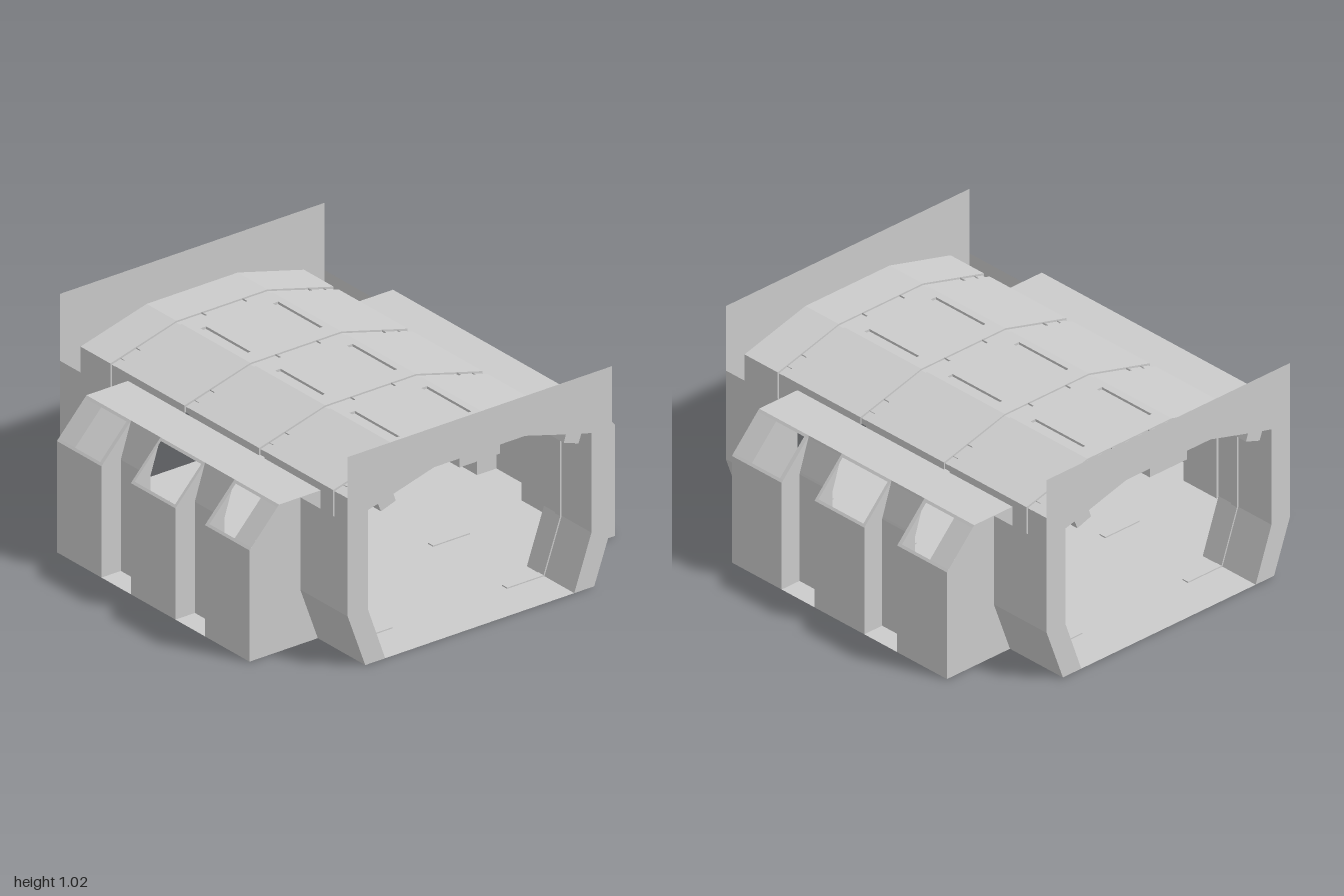
import * as THREE from 'three';

const material = new THREE.MeshStandardMaterial({ color: 0xcccccc, flatShading: true, side: THREE.DoubleSide });

// Skin quads between successive rings { p: [[x, y], ...], z }; skip(ring, segment) leaves openings.
function loft(rings, s = 1, skip = () => false) {
  const pos = [];
  for (let i = 0; i + 1 < rings.length; i++) {
    const A = rings[i], B = rings[i + 1];
    for (let j = 0; j + 1 < A.p.length; j++) {
      if (skip(i, j)) continue;
      const v = [[A, j], [A, j + 1], [B, j + 1], [B, j]].map(([r, k]) => new THREE.Vector3(s * r.p[k][0], r.p[k][1], r.z));
      for (const t of [[0, 1, 2], [0, 2, 3]]) {
        const [a, b, c] = t.map(k => v[k]);
        const area = b.clone().sub(a).cross(c.clone().sub(a)).length();
        if (area > 1e-8) for (const q of [a, b, c]) pos.push(q.x, q.y, q.z);
      }
    }
  }
  const g = new THREE.BufferGeometry();
  g.setAttribute('position', new THREE.Float32BufferAttribute(pos, 3));
  g.computeVertexNormals();
  return g;
}

const sweep = (p, z0, z1, s = 1) => loft([{ p, z: z0 }, { p, z: z1 }], s);
const flat = pts => new THREE.ShapeGeometry(new THREE.Shape(pts.map(p => new THREE.Vector2(...p))));
const mirrorX = pts => pts.map(([x, y]) => [-x, y]).reverse();

export function createModel() {
  const model = new THREE.Group();
  const add = (name, geometry, parent = model) => {
    const m = new THREE.Mesh(geometry, material);
    m.name = name;
    parent.add(m);
    return m;
  };
  const seams = [-0.775, -0.26, 0.26, 0.775], seamHalf = 0.018, depth = 0.008;

  // Floor, notched at the corners
  const half = [[0.512, -1], [0.512, -0.67], [0.99, -0.67], [0.99, 0.67], [0.512, 0.67], [0.512, 1]];
  add('floor', flat([...half, ...mirrorX(half)]).rotateX(-Math.PI / 2));

  // Roof with cross seams and shallow lengthwise slots
  const roofProfile = (drop, slot) => {
    const h = [[0.605 - drop, 0.7], [0.605 - drop, 0.735 - drop], [0.247, 0.83 - drop], [0.21, 0.83 - drop],
      [0.21, 0.83 - drop - slot], [0.18, 0.83 - drop - slot], [0.18, 0.83 - drop]];
    return [...h, ...mirrorX(h)];
  };
  const plain = roofProfile(0, 0), groove = roofProfile(depth, 0), slotted = roofProfile(0, 0.012);
  const roof = [{ p: plain, z: -1 }];
  const inset = (a, b, p) => roof.push({ p: plain, z: a }, { p, z: a }, { p, z: b }, { p: plain, z: b });
  seams.forEach((z, i) => {
    inset(z - seamHalf, z + seamHalf, groove);
    if (i < 3) {
      const c = (z + seams[i + 1]) / 2;
      inset(c - 0.155, c + 0.155, slotted);
    }
  });
  roof.push({ p: plain, z: 1 });
  add('roof', loft(roof));

  // Ceiling beams with lengthwise grooves
  const beam = [[0.11, 0.83], [0.11, 0.787], [0.075, 0.787], [0.075, 0.8], [0.035, 0.8], [0.035, 0.787]];
  add('centreBeam', sweep([...beam, ...mirrorX(beam)], -1, 1));
  const sideBeam = [[0.55, 0.745], [0.535, 0.707], [0.51, 0.715], [0.514, 0.727], [0.482, 0.737],
    [0.478, 0.726], [0.455, 0.734], [0.467, 0.77]];

  // End frames around the passage
  const opening = [[0.512, 0], [0.605, 0.26], [0.605, 0.735], [0.55, 0.748], [0.535, 0.707], [0.455, 0.734],
    [0.467, 0.77], [0.247, 0.83], [0.11, 0.83], [0.11, 0.787]];
  const frame = [[-0.62, 0], [-0.715, 0.26], [-0.715, 1.02], [0.715, 1.02], [0.715, 0.26], [0.62, 0],
    ...opening, ...mirrorX(opening)];
  add('frontFrame', flat(frame).translate(0, 0, 1));
  add('backFrame', flat(frame).translate(0, 0, -1));

  // Bay profiles; the second and third points are the window edges
  const podP = [[0.605, 0.7], [0.83, 0.7], [0.839, 0.69], [0.981, 0.54], [0.99, 0.53], [0.99, 0]];
  const recessP = [[0.605, 0.7], [0.83, 0.7], [0.833, 0.69], [0.882, 0.54], [0.885, 0.53], [0.885, 0]];
  const pods = [[-0.67, -0.555, -0.38, -0.36], [-0.155, -0.14, 0.14, 0.155], [0.36, 0.38, 0.555, 0.67]];
  const bayRings = [];
  pods.forEach((pod, i) => {
    if (i > 0) bayRings.push({ p: recessP, z: pod[0] });
    for (const z of pod) bayRings.push({ p: podP, z });
    if (i < 2) bayRings.push({ p: recessP, z: pod[3] });
  });
  const isWindow = (i, j) => j === 2 && i % 6 === 1;

  const wall = d => [[0.512 - d, 0], [0.605 - d, 0.26], [0.605 - d, 0.7]];
  const outer = [[0.62, 0], [0.715, 0.26], [0.715, 0.7]];
  const endWall = [[0.512, 0], [0.605, 0.26], [0.605, 0.7], [0.83, 0.7], [0.99, 0.53], [0.99, 0]];

  for (const s of [1, -1]) {
    const side = new THREE.Group();
    side.name = s > 0 ? 'leftSide' : 'rightSide';
    model.add(side);
    add('sideBeam', sweep(sideBeam, -1, 1, s), side);
    add('windowBays', loft(bayRings, s, isWindow), side);
    for (const e of [1, -1]) {
      // Double walls beside each end opening
      const a = 0.775 - seamHalf, b = 0.775 + seamHalf;
      const rings = [[0, 0.67], [0, a], [depth, a], [depth, b], [0, b], [0, 1]];
      add('innerWall', loft(rings.map(([d, z]) => ({ p: wall(d), z: e * z })), s), side);
      add('outerWall', sweep(outer, e * 0.67, e, s), side);
      add('bayEndWall', flat(endWall.map(([x, y]) => [s * x, y])).translate(0, 0, e * 0.67), side);
    }
    // Thin floor ribs in line with the roof seams
    for (const z of seams) {
      add('floorRib', new THREE.BoxGeometry(0.2, 0.006, 2 * seamHalf).translate(s * 0.41, 0.004, z), side);
    }
  }
  return model;
}
